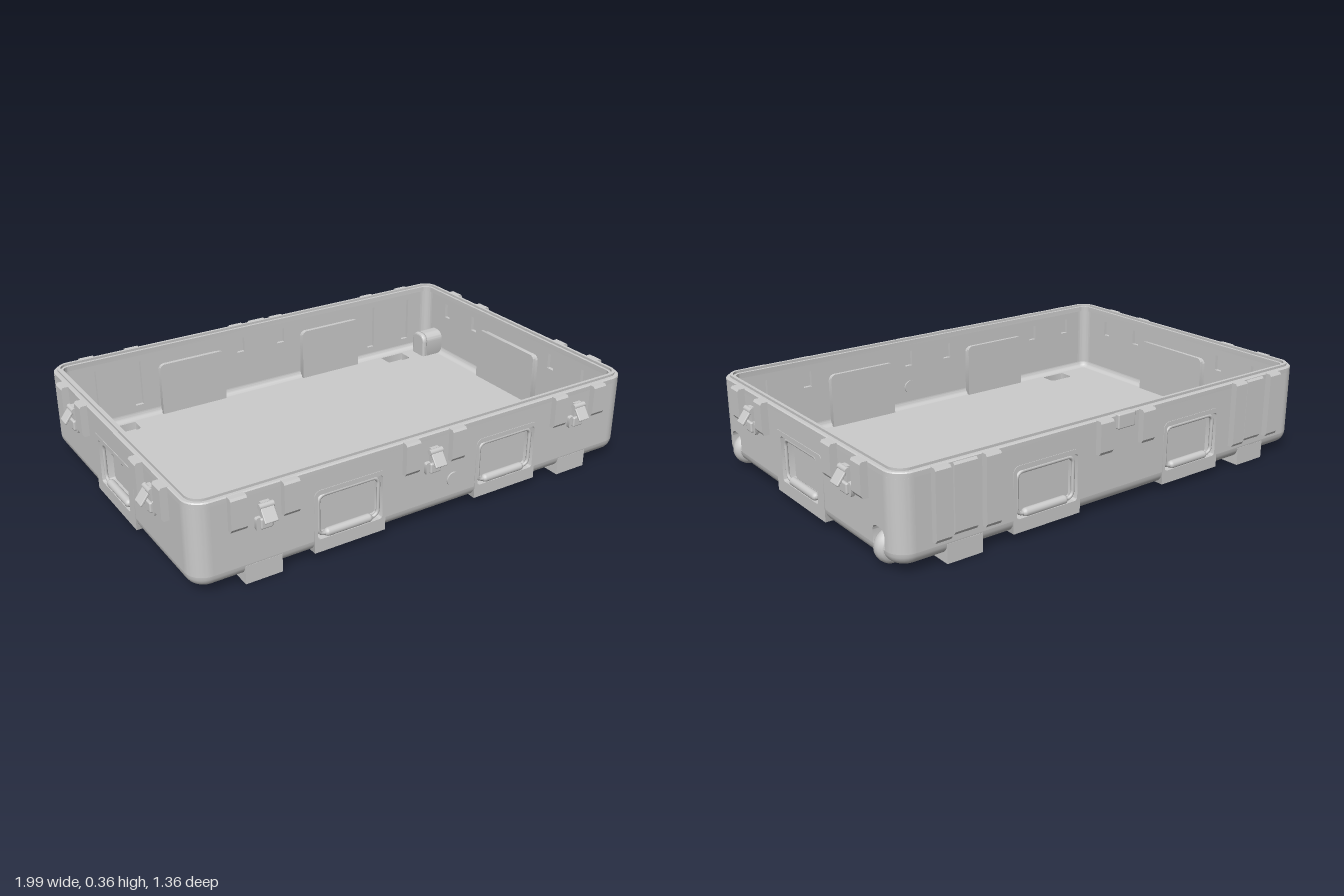
import * as THREE from 'three';
import { toCreasedNormals } from 'three/addons/utils/BufferGeometryUtils.js';
import { RoundedBoxGeometry } from 'three/addons/geometries/RoundedBoxGeometry.js';

const HX = 0.94, HZ = 0.64, R = 0.07, T = 0.03;   // half sizes, corner radius, wall
const Y0 = 0.028, Y1 = 0.075, Y2 = 0.33, FLOOR = 0.05;
const mat = new THREE.MeshStandardMaterial({ color: 0xcccccc });
const matTwo = new THREE.MeshStandardMaterial({ color: 0xcccccc, side: THREE.DoubleSide });

function add(parent, name, geo, x = 0, y = 0, z = 0, m = mat) {
  const mesh = new THREE.Mesh(geo, m);
  mesh.name = name;
  mesh.position.set(x, y, z);
  parent.add(mesh);
  return mesh;
}

// Rounded rectangle with separate radii for its lower and upper corners
function rect(x0, y0, x1, y1, rb = 0, rt = rb) {
  const s = new THREE.Shape();
  const arc = (x, y, r, a) => r > 0 ? s.absarc(x, y, r, a, a + Math.PI / 2, false) : s.lineTo(x, y);
  s.moveTo(x0 + rb, y0);
  arc(x1 - rb, y0 + rb, rb, -Math.PI / 2);
  arc(x1 - rt, y1 - rt, rt, 0);
  arc(x0 + rt, y1 - rt, rt, Math.PI / 2);
  arc(x0 + rb, y0 + rb, rb, Math.PI);
  return s;
}

function extrude(shape, depth) {
  return toCreasedNormals(new THREE.ExtrudeGeometry(shape, { depth, bevelEnabled: false, curveSegments: 8 }), 0.5);
}

// Sweep a profile of [inset, y] pairs around the rounded rectangular plan
function sweep(profile) {
  const loops = profile.map(([inset, y]) => {
    const r = Math.max(R - inset, 0.015), loop = [];
    for (let k = 0; k < 4; k++) for (let i = 0; i <= 8; i++) {
      const a = (k + i / 8) * Math.PI / 2;
      const sx = k === 0 || k === 3 ? 1 : -1, sz = k < 2 ? -1 : 1;
      loop.push([sx * (HX - inset - r) + r * Math.cos(a), y, sz * (HZ - inset - r) - r * Math.sin(a)]);
    }
    return loop;
  });
  const pos = [], n = loops[0].length;
  for (let i = 0; i + 1 < loops.length; i++) for (let j = 0; j < n; j++) {
    const a = loops[i][j], b = loops[i][(j + 1) % n], c = loops[i + 1][(j + 1) % n], d = loops[i + 1][j];
    pos.push(...a, ...b, ...c, ...a, ...c, ...d);
  }
  const g = new THREE.BufferGeometry();
  g.setAttribute('position', new THREE.Float32BufferAttribute(pos, 3));
  return toCreasedNormals(g, 0.5);
}

// Plate in plan with four openings over the hollow feet
function plate(inset, up) {
  const s = rect(-HX + inset, -HZ + inset, HX - inset, HZ - inset, Math.max(R - inset, 0.015));
  for (const x of [-0.685, 0.685]) {
    s.holes.push(rect(x - 0.06, 0.505, x + 0.06, 0.58, 0.02, 0.002));
    s.holes.push(rect(x - 0.06, -0.58, x + 0.06, -0.505, 0.002, 0.02));
  }
  return new THREE.ShapeGeometry(s, 8).rotateX(up ? -Math.PI / 2 : Math.PI / 2);
}

// Vertical rib with chamfered ends, facing +z
function ribGeo(w, y0, y1, d) {
  const s = new THREE.Shape([[-0.015, y0], [d - 0.008, y0], [d, y0 + 0.012], [d, y1 - 0.008],
    [d - 0.006, y1], [-0.015, y1]].map(p => new THREE.Vector2(...p)));
  return extrude(s, w).rotateY(-Math.PI / 2).translate(w / 2, 0, 0);
}

// Recessed carrying handle with its panel and inner housing
function handle(parent, x, w, half) {
  const g = new THREE.Group();
  g.name = 'carryHandle';
  g.position.set(x, 0, half);
  parent.add(g);
  const panel = rect(-w / 2, 0.026, w / 2, 0.268, 0.001, 0.025);
  panel.holes.push(rect(-0.132, 0.076, 0.132, 0.25, 0.012));
  add(g, 'handlePanel', extrude(panel, 0.05), 0, 0, -0.048);
  add(g, 'handleHousing', extrude(rect(-w / 2 - 0.004, 0.04, w / 2 + 0.004, 0.275, 0.002, 0.02), 0.014), 0, 0, -0.062);
  const pts = rect(-0.122, 0.086, 0.122, 0.24, 0.025).getSpacedPoints(48).map(p => new THREE.Vector3(p.x, p.y, 0));
  pts.pop();
  add(g, 'bail', new THREE.TubeGeometry(new THREE.CatmullRomCurve3(pts, true), 72, 0.007, 8, true), 0, 0, -0.012);
  add(g, 'grip', new THREE.CapsuleGeometry(0.016, 0.165, 4, 14).rotateZ(Math.PI / 2), 0, 0.086, -0.014);
  add(g, 'hingeBar', new RoundedBoxGeometry(0.19, 0.018, 0.03, 2, 0.005), 0, 0.237, -0.03);
}

// Draw latch: base, pivot, arm and tilted pull tab
function latch(parent, x, half) {
  const g = new THREE.Group();
  g.name = 'latch';
  g.position.set(x, 0, half);
  parent.add(g);
  add(g, 'latchBase', extrude(rect(-0.036, 0.195, 0.036, 0.246, 0.014, 0.008), 0.014));
  add(g, 'latchBoss', new RoundedBoxGeometry(0.046, 0.04, 0.018, 2, 0.006), 0, 0.224, 0.015);
  add(g, 'latchArm', new THREE.BoxGeometry(0.034, 0.075, 0.014), 0, 0.262, 0.008);
  add(g, 'latchPivot', new THREE.CylinderGeometry(0.011, 0.011, 0.054, 12).rotateZ(Math.PI / 2), 0, 0.288, 0.016);
  add(g, 'pullTab', new RoundedBoxGeometry(0.05, 0.055, 0.009, 2, 0.003), 0, 0.264, 0.037).rotation.x = -0.65;
}

// One side wall with everything mounted on it, built facing +z
function side(body, name, angle, half, halfLen, o) {
  const g = new THREE.Group();
  g.name = name;
  g.rotation.y = angle;
  body.add(g);
  const wall = rect(-halfLen + R, Y1, halfLen - R, Y2);
  for (const x of o.handles) {
    wall.holes.push(rect(x - 0.133, Y1 + 0.0005, x + 0.133, 0.252));
    handle(g, x, o.panel, half);
  }
  for (const [x, low] of o.ribs) {
    wall.holes.push(rect(x - 0.018, low + 0.01, x + 0.018, 0.3));
    add(g, 'rib', ribGeo(0.06, low, 0.35, o.ribDepth), x, 0, half);
  }
  for (const x of o.wheels || []) {
    wall.holes.push(rect(x - 0.036, Y1 + 0.0005, x + 0.036, 0.145, 0.001, 0.025));
    wheel(g, x, half);
  }
  add(g, 'wall', extrude(wall, T), 0, 0, half - T);
  for (const x of o.latches) latch(g, x, half);
  for (const x of o.feet || []) foot(g, x, half);
  return g;
}

// Transport wheel in an arched housing
function wheel(parent, x, half) {
  const arch = rect(-0.045, 0.04, 0.045, 0.155, 0.002, 0.035);
  arch.holes.push(rect(-0.036, 0.042, 0.036, 0.145, 0.001, 0.025));
  add(parent, 'wheelArch', extrude(arch, 0.085), x, 0, half - 0.115);
  add(parent, 'wheelArchEnd', new THREE.ExtrudeGeometry(rect(-0.035, 0.05, 0.035, 0.145, 0.002, 0.026),
    { depth: 0.002, bevelThickness: 0.012, bevelSize: 0.01, bevelSegments: 3 }), x, 0, half - 0.125);
  const prof = [[0, -0.031], [0.038, -0.031], [0.05, -0.026], [0.058, -0.014], [0.06, 0],
    [0.058, 0.014], [0.05, 0.026], [0.038, 0.031], [0, 0.031]].map(p => new THREE.Vector2(...p));
  add(parent, 'wheel', new THREE.LatheGeometry(prof, 32).rotateZ(Math.PI / 2), x, 0.068, half - 0.045);
}

// Hollow foot opening into the floor
function foot(parent, x, half) {
  const plan = rect(-0.07, -half, 0.07, -half + 0.15, 0.002, 0.03);
  plan.holes.push(rect(-0.06, -0.58, 0.06, -0.505, 0.002, 0.02));
  add(parent, 'foot', extrude(plan, 0.048).rotateX(-Math.PI / 2), x);
  add(parent, 'footSole', new THREE.BoxGeometry(0.126, 0.014, 0.09), x, 0.0075, 0.5425);
  add(parent, 'footFace', new THREE.BoxGeometry(0.14, 0.07, 0.022), x, 0.035, half - 0.0105);
}

export function createModel() {
  const root = new THREE.Group();
  root.name = 'openCaseBase';
  const body = new THREE.Group();
  body.name = 'caseBody';
  body.position.z = -0.02;
  root.add(body);

  // Base pan: rounded lower edge outside, coved edge inside
  const outer = [], inner = [];
  for (let i = 0; i <= 6; i++) {
    const a = i / 6 * Math.PI / 2, s = 1 - Math.sin(a), c = 1 - Math.cos(a);
    outer.push([0.045 * s, Y0 + (Y1 - Y0) * c]);
    inner.push([T + 0.025 * c, Y1 - (Y1 - FLOOR) * Math.sin(a)]);
  }
  add(body, 'panOuter', sweep(outer));
  add(body, 'panInner', sweep(inner));
  add(body, 'underside', plate(0.045, false), 0, Y0);
  add(body, 'floor', plate(T + 0.025, true), 0, FLOOR);

  // Rounded wall corners
  const ring = new THREE.Shape();
  ring.absarc(0, 0, R, 0, Math.PI / 2, false);
  ring.absarc(0, 0, R - T, Math.PI / 2, 0, true);
  for (let k = 0; k < 4; k++) {
    const sx = k === 0 || k === 3 ? 1 : -1, sz = k < 2 ? -1 : 1;
    add(body, 'wallCorner', extrude(ring, Y2 - Y1).rotateX(-Math.PI / 2), sx * (HX - R), Y1, sz * (HZ - R))
      .rotation.y = k * Math.PI / 2;
  }

  // Rim with a raised sealing tongue
  add(body, 'rim', sweep([[0, Y2], [0, 0.347], [0.004, 0.351], [0.015, 0.351], [0.015, 0.36], [0.027, 0.36],
    [0.027, 0.351], [0.038, 0.351], [0.038, Y2], [T, Y2]]), 0, 0, 0, matTwo);

  // Four sides
  const ribX = [-0.78, -0.585, -0.1, 0.1, 0.585, 0.78];
  const long = { handles: [-0.345, 0.345], panel: 0.29, feet: [-0.685, 0.685] };
  const front = side(body, 'frontSide', 0, HZ, HX,
    { ...long, ribs: ribX.map(x => [x, 0.225]), ribDepth: 0.024, latches: [-0.68, 0, 0.68] });
  const back = side(body, 'backSide', Math.PI, HZ, HX,
    { ...long, ribs: ribX.map(x => [x, Math.abs(x) > 0.5 ? 0.095 : 0.225]), ribDepth: 0.025, latches: [] });
  const ends = { handles: [0], panel: 0.355, latches: [-0.355, 0.355], ribDepth: 0.028,
    ribs: [-0.45, -0.255, 0.255, 0.45].map(x => [x, 0.225]) };
  side(body, 'leftSide', Math.PI / 2, HX, HZ, { ...ends, wheels: [-0.53, 0.53] });
  side(body, 'rightSide', -Math.PI / 2, HX, HZ, ends);

  // Pressure valve on the front, hinge block and pads on the back
  add(front, 'pressureValve', new THREE.CylinderGeometry(0.028, 0.028, 0.042, 24).rotateX(Math.PI / 2), 0.097, 0.14, HZ - 0.015);
  add(back, 'hingeBlock', new RoundedBoxGeometry(0.08, 0.055, 0.03, 2, 0.005), 0, 0.327, HZ);
  for (const x of [-0.6825, 0.6825]) add(back, 'backPad', ribGeo(0.09, 0.095, 0.345, 0.008), x, 0, HZ);
  return root;
}
